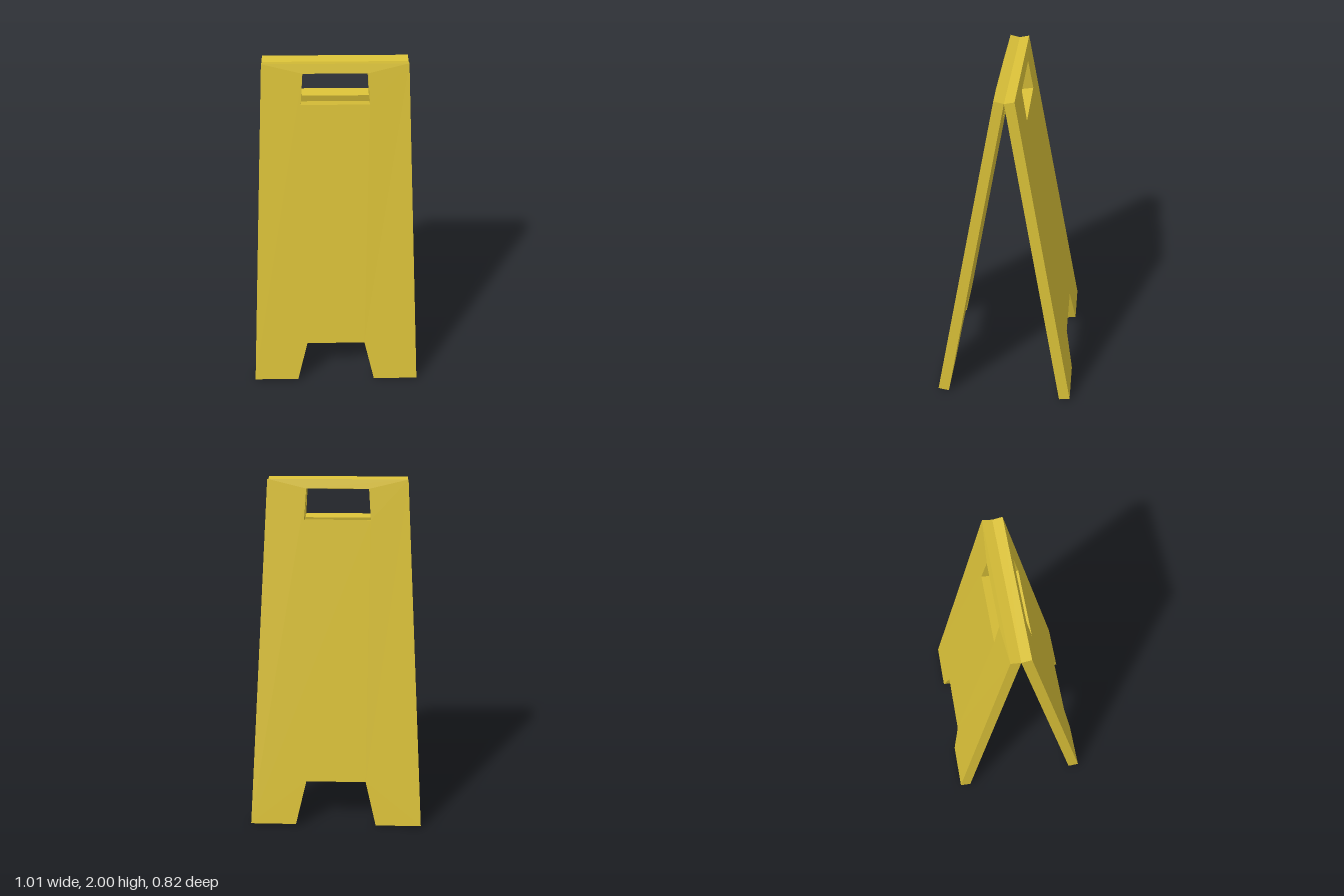
import * as THREE from 'three';

const TOP = 2, FOOT = 0.012;   // outer face heights
const LEAN = 0.1765;           // outward run per unit of height

// Outline of one leaf, as x and outer-face height
function leafShape() {
  const v = (pts) => pts.map(([x, y]) => new THREE.Vector2(x, y));
  const shape = new THREE.Shape(v([
    [-0.505, FOOT], [-0.237, FOOT], [-0.175, 0.275], [0.175, 0.275],
    [0.237, FOOT], [0.505, FOOT], [0.393, TOP], [-0.393, TOP],
  ]));
  // Hand grip opening
  shape.holes.push(new THREE.Path(v([
    [-0.187, 1.78], [-0.175, 1.95], [0.175, 1.95], [0.187, 1.78],
  ])));
  return shape;
}

// Lean the flat leaf outward and pinch its top edge at the hinge line
function leafGeometry() {
  const geo = new THREE.ExtrudeGeometry(leafShape(), { depth: 1, bevelEnabled: false });
  const p = geo.attributes.position;
  for (let i = 0; i < p.count; i++) {
    const y = p.getY(i), outer = p.getZ(i) > 0.5;
    let z = 0.41 - LEAN * (y - FOOT) - (outer ? 0 : 0.065);
    if (y > TOP - 0.001) z = outer ? 0.053 : 0;
    p.setY(i, outer ? y : y - FOOT);
    p.setZ(i, z);
  }
  geo.computeVertexNormals();
  return geo;
}

export function createModel() {
  const group = new THREE.Group();
  group.name = 'foldingFloorSign';
  const yellow = new THREE.MeshStandardMaterial({ color: 0xd9c038 });
  const geo = leafGeometry();

  // Two identical leaves, back to back
  ['frontPanel', 'backPanel'].forEach((name, i) => {
    const leaf = new THREE.Mesh(geo, yellow);
    leaf.name = name;
    leaf.rotation.y = i * Math.PI;
    group.add(leaf);
  });
  return group;
}
